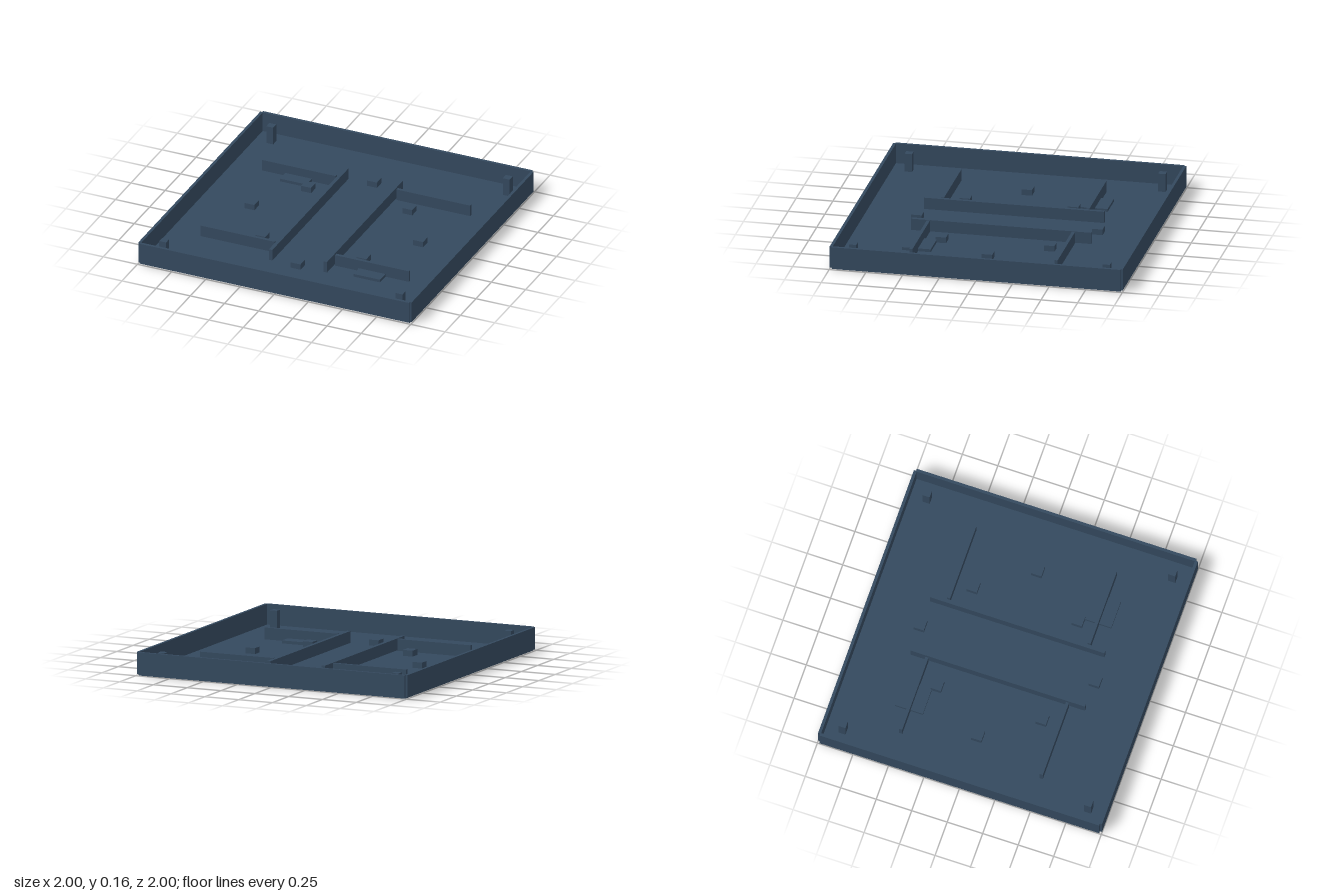
import * as THREE from 'three';

export function createModel() {
  const model = new THREE.Group();
  const material = new THREE.MeshStandardMaterial({ color: 0x34495e });

  // Box given by its centre in plan, its bottom and top heights, and its plan size
  function block(name, x, z, bottom, top, width, depth) {
    const mesh = new THREE.Mesh(new THREE.BoxGeometry(width, top - bottom, depth), material);
    mesh.name = name;
    mesh.position.set(x, (bottom + top) / 2, z);
    model.add(mesh);
  }

  block('floor', 0, 0, 0, 0.02, 1.97, 1.97);

  for (const s of [-1, 1]) {
    // Outer walls, slightly short so the corners are notched
    block('endWall', 0, s * 0.99, 0.01, 0.16, 1.97, 0.02);
    block('sideWall', s * 0.99, 0, 0.01, 0.16, 0.02, 1.97);

    // Long dividers beside the central aisle
    block('longDivider', s * 0.2, 0, 0.01, 0.1, 0.025, 1.23);

    // Raised pads under two of the cross dividers
    block('pad', s * 0.493, s * 0.495, 0.015, 0.04, 0.195, 0.195);

    // Cubes on the two centre lines
    block('axisCube', s * 0.617, 0, 0.015, 0.06, 0.072, 0.072);
    block('axisCube', 0, s * 0.617, 0.015, 0.06, 0.072, 0.072);

    for (const t of [-1, 1]) {
      block('crossDivider', s * 0.492, t * 0.495, 0.01, 0.1, 0.54, 0.022);
      block('diagonalCube', s * 0.37, t * 0.37, 0.015, 0.06, 0.072, 0.072);
      block('cornerPost', s * 0.865, t * 0.865, 0.01, 0.147, 0.05, 0.05);
    }
  }

  return model;
}
